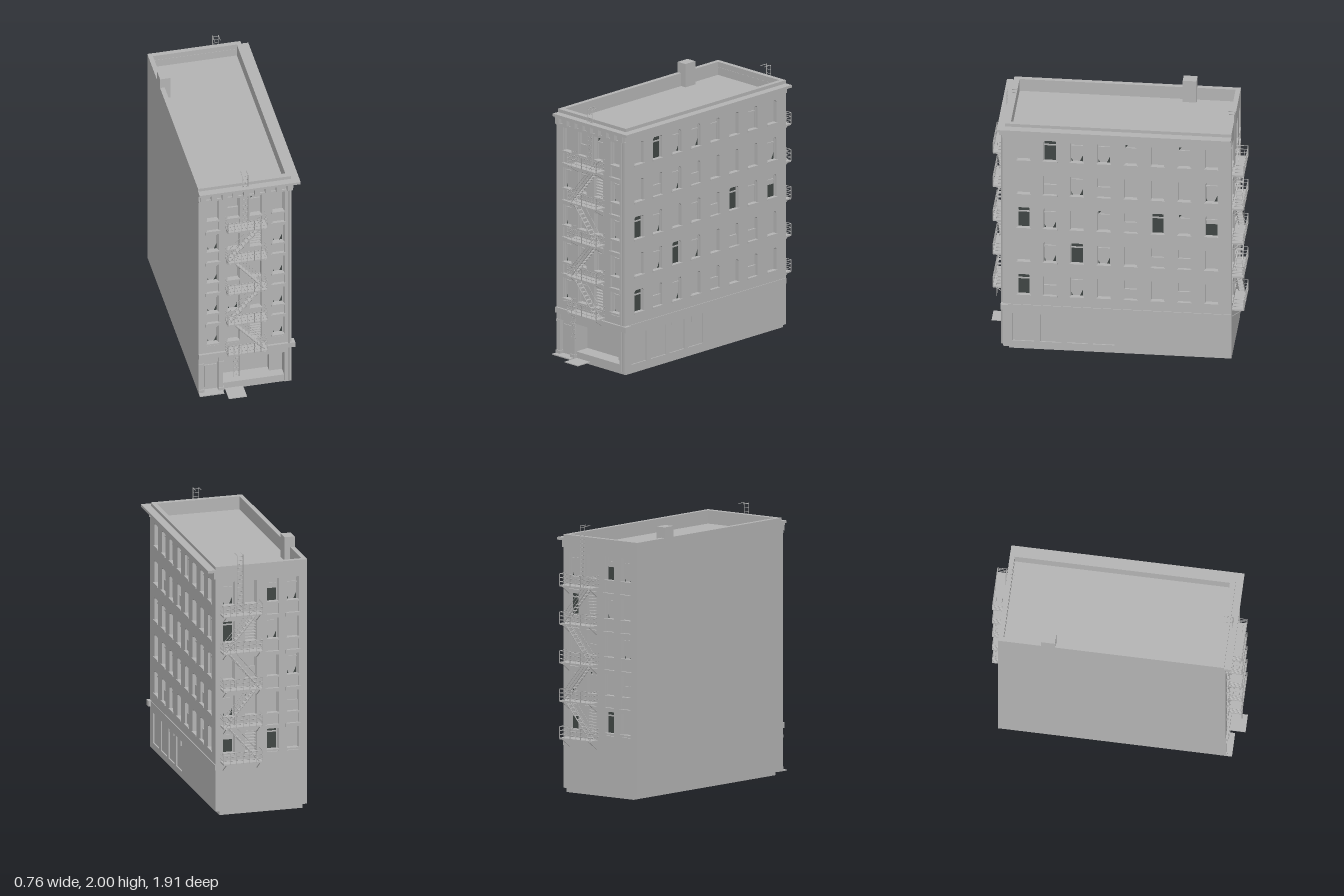
import * as THREE from 'three';

const stone = new THREE.MeshStandardMaterial({ color: 0xb4b4b4, side: THREE.DoubleSide });
stone.name = 'grey masonry';
const dark = new THREE.MeshStandardMaterial({ color: 0x404644, side: THREE.DoubleSide });
dark.name = 'dark opening';

const ROWS = [0.475, 0.757, 1.043, 1.33, 1.617]; // window sill heights
const WIN_H = 0.172;

function add(parent, name, geo, mat = stone) {
  const m = new THREE.Mesh(geo, mat);
  m.name = name;
  parent.add(m);
  return m;
}

// Box given by its limits on each axis
function block(parent, name, x0, x1, y0, y1, z0, z1, mat) {
  const m = add(parent, name, new THREE.BoxGeometry(x1 - x0, y1 - y0, z1 - z0), mat);
  m.position.set((x0 + x1) / 2, (y0 + y1) / 2, (z0 + z1) / 2);
  return m;
}

// Thin round iron bar between two points
function bar(parent, name, a, b, r = 0.0025) {
  const p = new THREE.Vector3(...a), q = new THREE.Vector3(...b);
  const m = add(parent, name, new THREE.CylinderGeometry(r, r, p.distanceTo(q), 5));
  m.position.copy(p).add(q).multiplyScalar(0.5);
  m.quaternion.setFromUnitVectors(new THREE.Vector3(0, 1, 0), q.sub(p).normalize());
}

const poly = (pts) => pts.map(([x, y]) => new THREE.Vector2(x, y));
const rect = (x0, x1, y0, y1) => [[x0, y0], [x1, y0], [x1, y1], [x0, y1]];
const arched = (x, y, w, h) => [[x - w / 2, y], [x + w / 2, y], [x + w / 2, y + h - 0.012],
  [x + w / 2 - 0.01, y + h], [x - w / 2 + 0.01, y + h], [x - w / 2, y + h - 0.012]];

// Flat wall with holes, front at z + depth
function wall(parent, name, outline, holes, z, depth) {
  const s = new THREE.Shape(poly(outline));
  holes.forEach((h) => s.holes.push(new THREE.Path(poly(h))));
  const m = add(parent, name, new THREE.ExtrudeGeometry(s, { depth, bevelEnabled: false }));
  m.position.z = z;
}

function plate(parent, name, pts, z) {
  add(parent, name, new THREE.ShapeGeometry(new THREE.Shape(poly(pts))), dark).position.z = z;
}

// Sash and dark openings: p plain, d open, t/T broken low/high, h low half open, s low sash
function pane(parent, kind, x, y, w, z) {
  const l = x - w / 2, r = x + w / 2, t = y + WIN_H, mid = y + WIN_H * 0.55;
  if (kind === 'd') plate(parent, 'openWindow', rect(l, r, y, t), z + 0.004);
  if (kind === 'h') plate(parent, 'openWindow', rect(l, r, y, mid), z + 0.004);
  if (kind === 't') {
    plate(parent, 'brokenGlass', [[r - 0.028, y], [r, y], [r, y + 0.062]], z + 0.004);
    plate(parent, 'brokenGlass', [[l, y], [l + 0.016, y], [l, y + 0.04]], z + 0.004);
  }
  if (kind === 'T') plate(parent, 'brokenGlass', [[l, t], [l, t - 0.045], [l + 0.035, t]], z + 0.004);
  if (kind === 's') block(parent, 'lowerSash', l, r, y, mid - 0.015, z, z + 0.014);
  else if (kind !== 'p') {
    block(parent, 'meetingRail', l, r, mid + 0.03, mid + 0.04, z, z + 0.01);
    for (const e of [l, r - 0.006]) block(parent, 'sashStile', e, e + 0.006, y, t, z, z + 0.01);
  }
}

// Long side wall; its local x runs towards the back
function sideWall() {
  const g = new THREE.Group();
  g.name = 'sideWall';
  const cols = [-0.675, -0.48, -0.28, -0.08, 0.12, 0.32, 0.517, 0.718];
  const kinds = ['dstpspsp', 'ptdtpssp', 'dtpTsdTh', 'pstspppt', 'pdttTpTp'];
  const holes = [];
  ROWS.forEach((y, r) => cols.forEach((u, c) => {
    holes.push(arched(u, y, 0.095, WIN_H));
    pane(g, kinds[r][c], u, y, 0.095, 0);
    block(g, 'sideSill', u - 0.054, u + 0.054, y - 0.012, y, 0, 0.038);
  }));
  // Shallow street panels, two of them notched at the top
  [[-0.757, 0], [-0.553, 0], [-0.355, 0.02], [-0.16, 0.045]].forEach(([u, n], i) => {
    const e = u + 0.157, inset = i === 3 ? 0.04 : 0.022;
    holes.push(n ? [[u, 0.08], [e, 0.08], [e, 0.312], [e - inset, 0.312], [e - inset, 0.312 - n],
      [u + inset, 0.312 - n], [u + inset, 0.312], [u, 0.312]] : rect(u, e, 0.08, 0.312));
  });
  wall(g, 'sideMasonry', rect(-0.83, 0.865, 0.03, 1.88), holes, 0, 0.03);
  block(g, 'panelBacks', -0.79, 0.03, 0.06, 0.33, -0.01, 0.02);
  block(g, 'sideBand', -0.83, 0.865, 0.347, 0.39, 0.02, 0.036);
  block(g, 'sideFrieze', -0.84, 0.865, 1.825, 1.88, 0.02, 0.042);
  g.rotation.y = Math.PI / 2;
  g.position.x = 0.29;
  return g;
}

// Narrow facade: recessed window strips, lintels, sills; s = -1 for the rear
function facade(name, s, yBottom, kinds) {
  const g = new THREE.Group();
  g.name = name;
  const edges = [-0.385 * s, 0.29 * s].sort((a, b) => a - b);
  const cols = [-0.275, -0.12, 0.05, 0.22].map((x) => x * s);
  const outline = rect(edges[0], edges[1], yBottom, 1.88);
  const holes = [];
  ROWS.forEach((y, r) => cols.forEach((x, c) => {
    holes.push(rect(x - 0.041, x + 0.041, y, y + WIN_H));
    pane(g, kinds[r][c], x, y, 0.082, 0);
    if (r < 4) block(g, 'lintel', x - 0.056, x + 0.056, y + WIN_H - 0.01, y + WIN_H + 0.018, 0.01, 0.045);
    block(g, 'sill', x - 0.05, x + 0.05, y - 0.014, y, 0.01, 0.044);
    // Louvres on one column
    if (c === 2 && (r === 0 || r === 3)) for (let k = 0; k < 7; k++)
      block(g, 'louvre', x - 0.041, x + 0.041, y + 0.015 + k * 0.022, y + 0.022 + k * 0.022, 0, 0.025);
  }));
  wall(g, 'windowWall', outline, holes, 0, 0.022);
  wall(g, 'pilasters', outline, cols.map((x) => rect(x - 0.045, x + 0.045, 0.455, 1.795)), 0.02, 0.018);
  return g;
}

function ladder(g, name, x, y0, y1, z) {
  for (const d of [-0.022, 0.022]) bar(g, name + 'Rail', [x + d, y0, z], [x + d, y1, z]);
  for (let y = y0 + 0.02; y < y1; y += 0.03) bar(g, name + 'Rung', [x - 0.022, y, z], [x + 0.022, y, z], 0.002);
}

// Iron balconies, zigzag stairs and roof ladder, with the wall at z = 0
function fireEscape(depth) {
  const g = new THREE.Group();
  g.name = 'fireEscape';
  const W = 0.15, decks = [0.41, 0.69, 0.975, 1.265, 1.55];
  decks.forEach((y, i) => {
    block(g, 'balconyDeck', -W, W, y - 0.006, y + 0.006, 0, depth);
    for (const h of [0.03, 0.06, 0.09]) {
      bar(g, 'railing', [-W, y + h, depth], [W, y + h, depth]);
      for (const s of [-W, W]) bar(g, 'railing', [s, y + h, 0], [s, y + h, depth]);
    }
    for (let k = 0; k <= 6; k++) bar(g, 'railPost', [-W + k * 0.05, y, depth], [-W + k * 0.05, y + 0.09, depth]);
    for (const s of [-0.13, 0.13]) bar(g, 'bracket', [s, y, depth], [s, y - 0.065, 0], 0.003);
    // Flight up to the next balcony
    if (i === 4) return;
    const s = i % 2 ? -1 : 1, xa = 0.133 * s, xb = -0.11 * s, rise = decks[i + 1] - y;
    for (const z of [0.025, 0.07]) {
      bar(g, 'stringer', [xa, y, z], [xb, y + rise, z], 0.004);
      bar(g, 'handrail', [xa, y + 0.07, z], [xb, y + rise + 0.07, z], 0.002);
    }
    for (let k = 1; k < 11; k++) {
      const x = xa + (xb - xa) * k / 11, h = y + rise * k / 11;
      block(g, 'tread', x - 0.011, x + 0.011, h - 0.002, h + 0.002, 0.025, 0.07);
    }
  });
  ladder(g, 'roofLadder', 0, 1.55, 2, 0.006);
  for (const d of [-0.022, 0.022]) bar(g, 'ladderHook', [d, 1.9975, 0.006], [d, 1.9975, -0.06]);
  return g;
}

export function createModel() {
  const model = new THREE.Group();
  model.name = 'cornerBuilding';

  // Core volume and plinth
  block(model, 'plinth', -0.35, 0.29, 0, 0.03, -0.864, 0.787);
  block(model, 'upperCore', -0.385, 0.29, 0.35, 1.82, -0.83, 0.79);
  block(model, 'groundCore', -0.385, 0.29, 0.03, 0.36, -0.83, 0.69);

  // Outer walls
  model.add(sideWall());
  const front = facade('frontFacade', 1, 0.35, ['tTpt', 'ttTt', 'tppt', 'tTpt', 'psTp']);
  front.position.z = 0.79;
  const back = facade('backFacade', -1, 0.03, ['pdph', 'spTt', 'tpsp', 'ptpd', 'thpt']);
  back.rotation.y = Math.PI;
  back.position.z = -0.828;
  model.add(front, back);

  // Parapet, chimney and cornice
  block(model, 'parapetLeft', -0.385, -0.35, 1.8, 1.92, -0.866, 0.815);
  block(model, 'parapetRight', 0.285, 0.32, 1.8, 1.92, -0.866, 0.815);
  block(model, 'parapetFront', -0.385, 0.32, 1.8, 1.92, 0.773, 0.815);
  block(model, 'parapetBack', -0.385, 0.32, 1.8, 1.92, -0.866, -0.83);
  block(model, 'chimney', -0.385, -0.305, 1.8, 2, -0.545, -0.442);
  block(model, 'corniceFront', -0.385, 0.38, 1.875, 1.895, 0.79, 0.87);
  block(model, 'corniceSide', 0.29, 0.38, 1.875, 1.895, -0.866, 0.87);
  block(model, 'frontFrieze', -0.385, 0.332, 1.862, 1.876, 0.82, 0.852);
  block(model, 'friezeFoot', -0.385, 0.328, 1.805, 1.82, 0.82, 0.838);
  for (let k = 0; k < 9; k++)
    block(model, 'modillion', -0.375 + k * 0.082, -0.335 + k * 0.082, 1.82, 1.876, 0.82, 0.858);

  // Shopfront: lintel, cornice, bulkhead, piers and recessed door
  const shop = new THREE.Group();
  shop.name = 'shopfront';
  model.add(shop);
  block(shop, 'shopLintel', -0.385, 0.29, 0.3, 0.39, 0.68, 0.826);
  block(shop, 'shopCornice', -0.385, 0.345, 0.35, 0.392, 0.79, 0.845);
  block(shop, 'shopBulkhead', -0.2, 0.29, 0.03, 0.08, 0.68, 0.81);
  block(shop, 'shopDisplay', 0.17, 0.27, 0.08, 0.27, 0.68, 0.74);
  block(shop, 'rightPier', 0.268, 0.291, 0.03, 0.36, 0.68, 0.83);
  block(shop, 'doorBay', -0.385, -0.2, 0.03, 0.36, 0.68, 0.8);
  for (const x of [-0.385, -0.235]) {
    block(shop, 'doorPilaster', x, x + 0.037, 0.03, 0.36, 0.79, 0.83);
    block(shop, 'pilasterFoot', x, x + 0.042, 0.03, 0.06, 0.79, 0.838);
    block(shop, 'pilasterCap', x, x + 0.042, 0.28, 0.3, 0.79, 0.836);
  }
  block(shop, 'doorLeaf', -0.335, -0.245, 0.06, 0.265, 0.79, 0.808);
  block(shop, 'doorStep', -0.385, -0.2, 0.028, 0.036, 0.78, 0.875);
  block(shop, 'entryPlate', -0.183, -0.045, 0.03, 0.036, 0.82, 0.95);

  // Drainpipe at the corner
  bar(model, 'drainpipe', [0.298, 0.04, 0.838], [0.298, 1.86, 0.838], 0.008);

  // Fire escapes at front and rear
  const frontEscape = fireEscape(0.095);
  frontEscape.position.set(-0.033, 0, 0.828);
  ladder(frontEscape, 'dropLadder', -0.088, 0.21, 0.5, 0.09);
  const backEscape = fireEscape(0.09);
  backEscape.position.set(0.133, 0, -0.866);
  backEscape.rotation.y = Math.PI;
  model.add(frontEscape, backEscape);
  return model;
}
